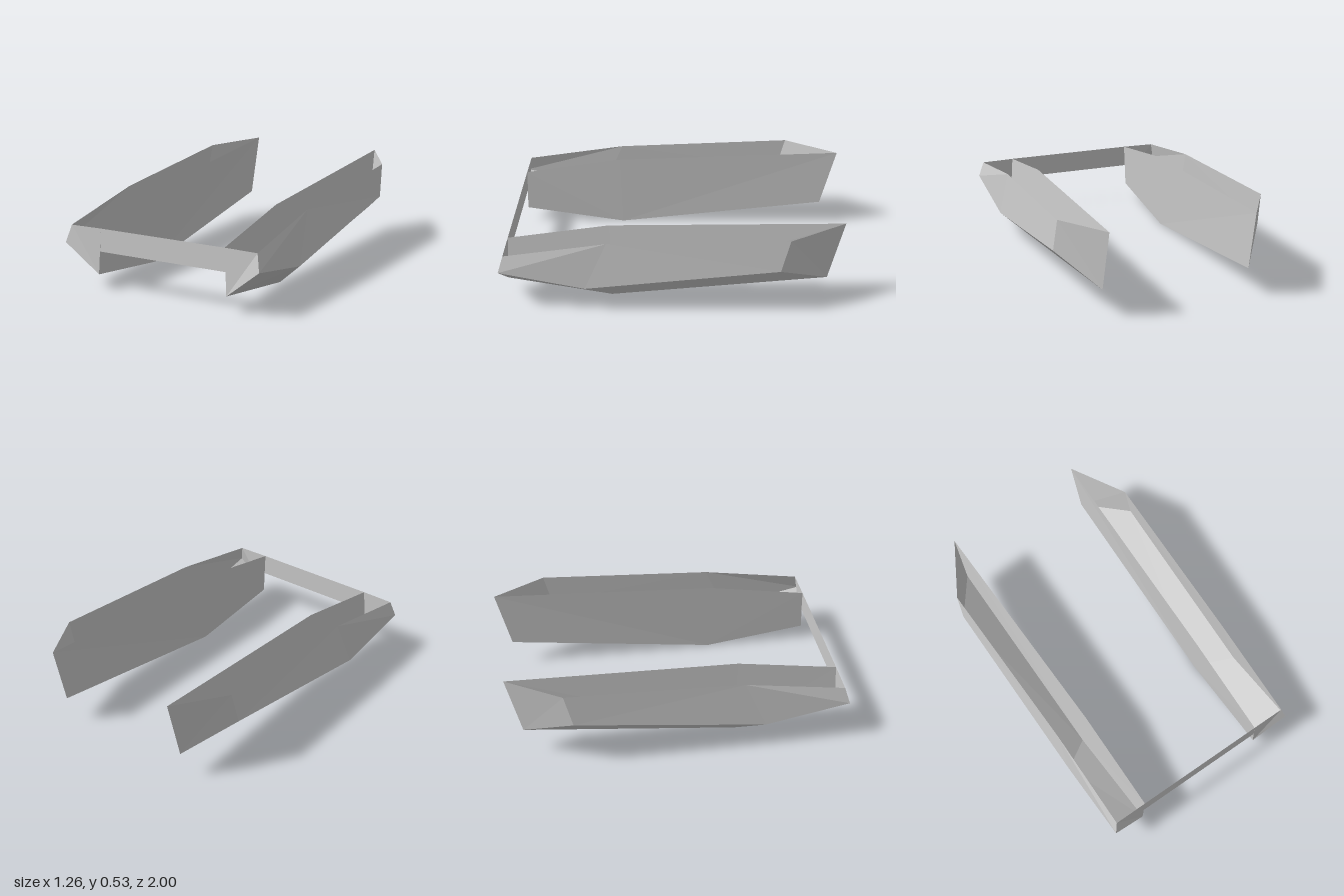
import * as THREE from 'three';

const material = new THREE.MeshStandardMaterial({ color: 0xcccccc, flatShading: true, side: THREE.DoubleSide });

// Corners of the left pod: inner wall, then outer wall
const inner = {
  frontTop: [0.40, 0.365, 0.97], frontLow: [0.415, 0.095, 0.98], keel: [0.427, 0.003, 0.36],
  backLow: [0.44, 0.17, -0.91], backTop: [0.432, 0.534, -1], midTop: [0.403, 0.468, 0.37],
};
const outer = {
  frontTop: [0.60, 0.362, 0.97], frontLow: [0.625, 0.263, 1], keel: [0.62, 0.165, 0.5],
  backLow: [0.63, 0.322, -0.63], backTop: [0.619, 0.52, -0.68], midTop: [0.60, 0.462, 0.37],
};

// Flat convex panel fanned from its first corner; side = -1 mirrors it
function panel(name, corners, side = 1) {
  const pts = corners.map(([x, y, z]) => [x * side, y, z]);
  if (side < 0) pts.push(...pts.splice(1).reverse());
  const positions = [];
  for (let i = 1; i < pts.length - 1; i++) positions.push(...pts[0], ...pts[i], ...pts[i + 1]);
  const geometry = new THREE.BufferGeometry();
  geometry.setAttribute('position', new THREE.Float32BufferAttribute(positions, 3));
  geometry.computeVertexNormals();
  const mesh = new THREE.Mesh(geometry, material);
  mesh.name = name;
  return mesh;
}

// Open-topped pod made of thin panels
function pod(name, side) {
  const group = new THREE.Group();
  group.name = name;
  const i = inner, o = outer;
  const panels = {
    innerWall: [i.keel, i.frontLow, i.frontTop, i.midTop, i.backTop, i.backLow],
    outerWall: [o.midTop, o.frontTop, o.frontLow, o.keel, o.backLow, o.backTop],
    frontPanel: [o.frontTop, i.frontTop, i.frontLow, o.frontLow],
    frontFloor: [i.frontLow, i.keel, o.keel, o.frontLow],
    rearFloor: [i.keel, i.backLow, o.backLow, o.keel],
    rearPanel: [i.backLow, i.backTop, o.backTop, o.backLow],
  };
  for (const [part, corners] of Object.entries(panels)) group.add(panel(part, corners, side));
  return group;
}

export function createModel() {
  const model = new THREE.Group();
  model.name = 'twinPodFrame';
  model.add(pod('leftPod', 1), pod('rightPod', -1));
  // Thin crossbar joining the pod fronts
  model.add(panel('crossbar', [
    [-0.407, 0.23, 0.974], [0.407, 0.23, 0.974], [0.40, 0.365, 0.97], [-0.40, 0.365, 0.97],
  ]));
  return model;
}
